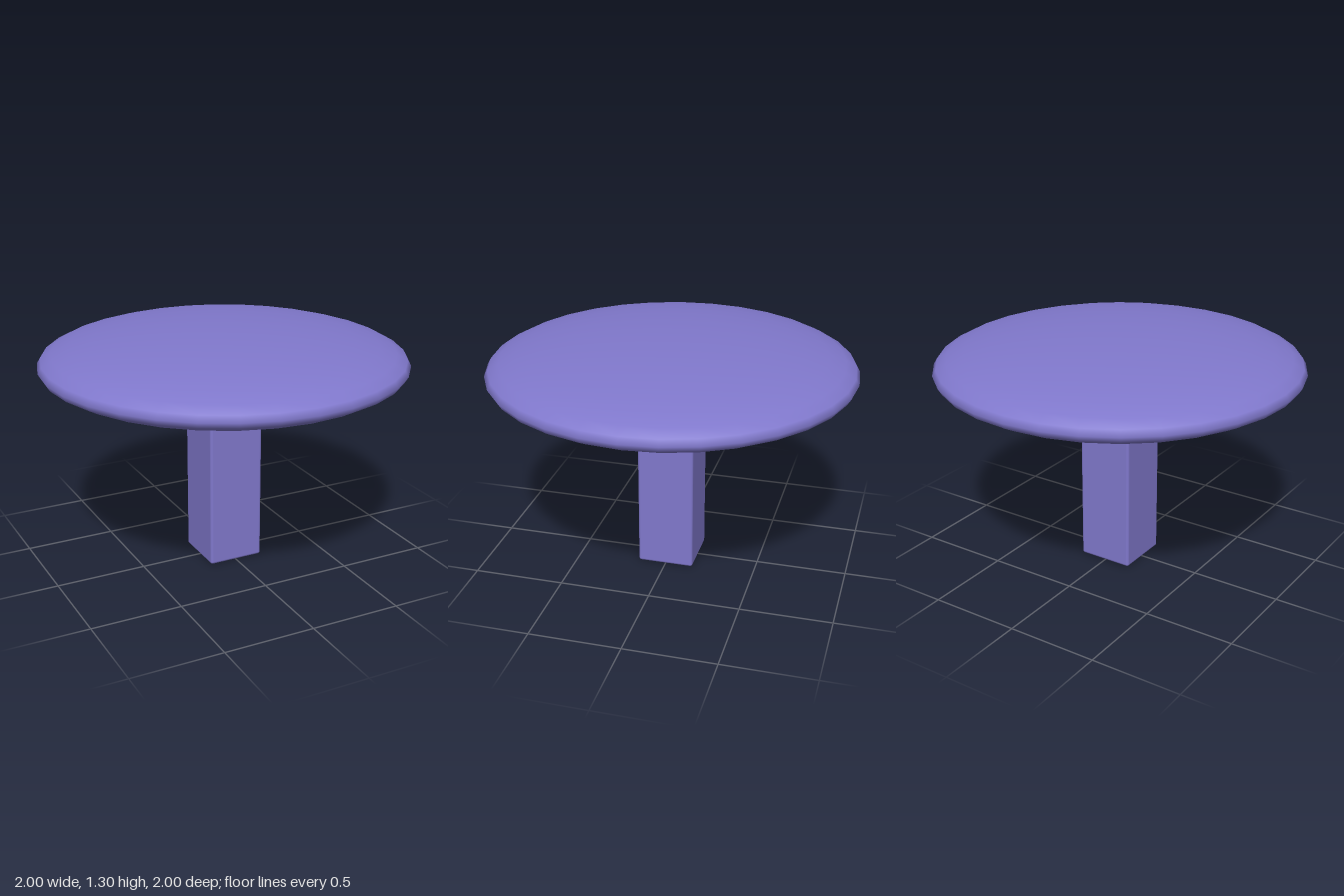
import * as THREE from 'three';
import { RoundedBoxGeometry } from 'three/addons/geometries/RoundedBoxGeometry.js';

export function createModel() {
  const model = new THREE.Group();
  model.name = 'pedestalTable';
  const material = new THREE.MeshStandardMaterial({ color: 0x8078cc });

  // Flattened round top
  const topGeometry = new THREE.SphereGeometry(1, 32, 16);
  topGeometry.scale(1, 0.167, 1);
  const top = new THREE.Mesh(topGeometry, material);
  top.name = 'tableTop';
  top.position.y = 1.135;
  model.add(top);

  // Square post with softened edges, its upper end set into the top
  const postHeight = 1.06;
  const post = new THREE.Mesh(new RoundedBoxGeometry(0.312, postHeight, 0.312, 3, 0.015), material);
  post.name = 'post';
  post.position.y = postHeight / 2;
  model.add(post);

  return model;
}
